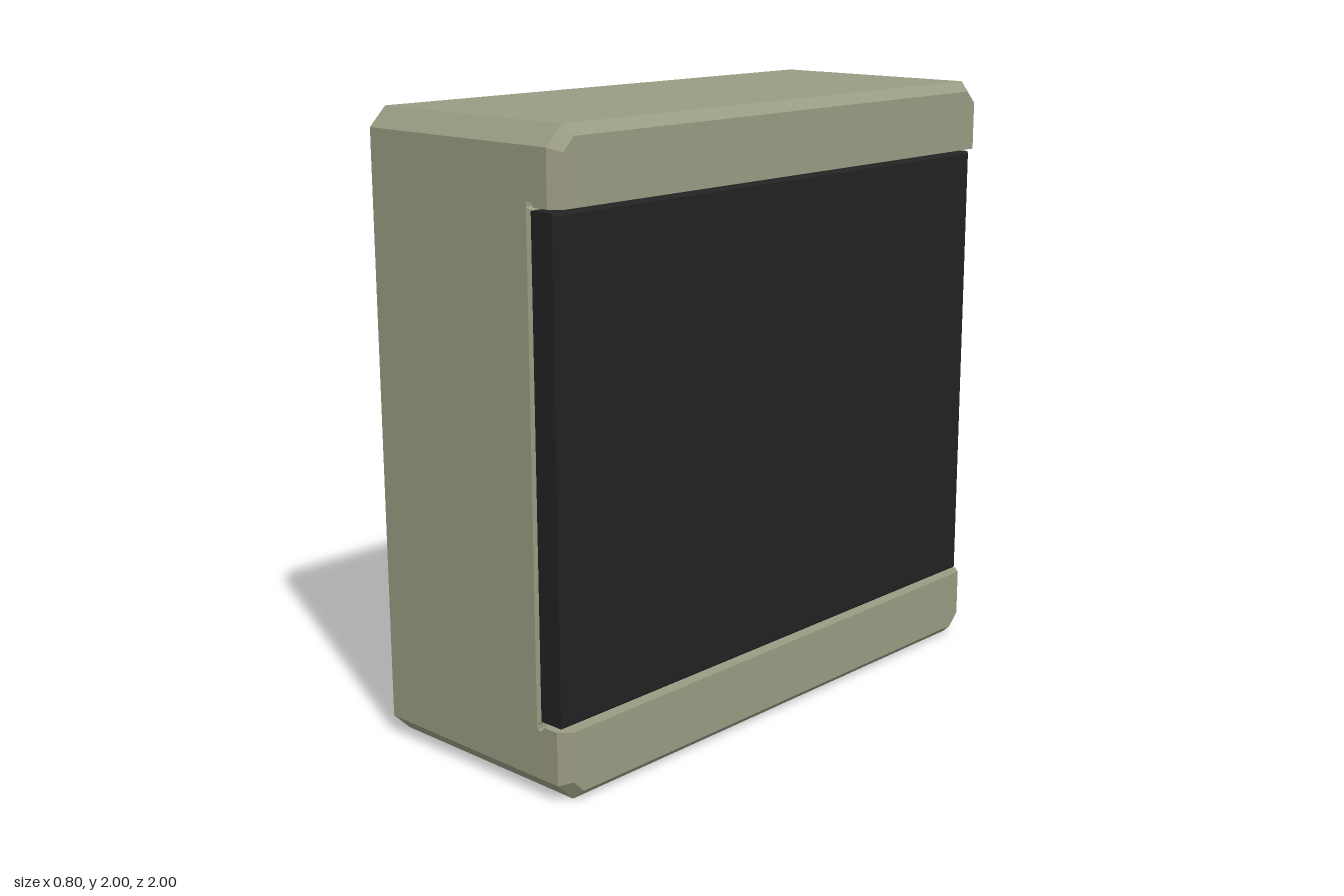
import * as THREE from 'three';

const shell = new THREE.MeshStandardMaterial({ color: 0x9a9b83 });
const dark = new THREE.MeshStandardMaterial({ color: 0x222222 });

// Joins convex sections { x, loop } (loop = [y, z] pairs) along x, with flat faces and end caps.
function loft(name, sections, material) {
  const pos = [];
  const rings = sections.map(({ x, loop }) => loop.map(([y, z]) => [x, y, z]));
  const tri = (a, b, c) => pos.push(...a, ...b, ...c);
  const n = rings[0].length;
  for (let s = 0; s < rings.length - 1; s++) {
    const a = rings[s], b = rings[s + 1];
    for (let i = 0; i < n; i++) {
      const j = (i + 1) % n;
      tri(a[i], a[j], b[j]);
      tri(a[i], b[j], b[i]);
    }
  }
  const first = rings[0], last = rings[rings.length - 1];
  for (let i = 1; i < n - 1; i++) {
    tri(first[0], first[i + 1], first[i]);
    tri(last[0], last[i], last[i + 1]);
  }
  const geo = new THREE.BufferGeometry();
  geo.setAttribute('position', new THREE.Float32BufferAttribute(pos, 3));
  geo.computeVertexNormals();
  const mesh = new THREE.Mesh(geo, material);
  mesh.name = name;
  return mesh;
}

// Rectangle y0..y1, z0..z1 with corners cut by c
function cutRect(y0, y1, z0, z1, c) {
  return [[y0, z0 + c], [y0 + c, z0], [y1 - c, z0], [y1, z0 + c],
    [y1, z1 - c], [y1 - c, z1], [y0 + c, z1], [y0, z1 - c]];
}
const rect = (y0, y1, z0, z1) => [[y0, z0], [y1, z0], [y1, z1], [y0, z1]];

// Upper band section: inner edge at y0, outer edges inset by d
function bandLoop(y0, d) {
  const z = 1 - d, y = 2 - d, c = 0.06 - d * 0.6;
  return [[y0, -z], [y - c, -z], [y, -z + c], [y, z - c], [y - c, z], [y0, z]];
}
const flipY = (loop) => loop.map(([y, z]) => [2 - y, z]).reverse();

export function createModel() {
  const model = new THREE.Group();

  // Main block with cut corners
  const outline = cutRect(0, 2, -1, 1, 0.06);
  model.add(loft('mainBlock', [{ x: -0.4, loop: outline }, { x: 0.28, loop: outline }], shell));

  // Raised floor of the recess, bevelled at its open ends
  model.add(loft('recessFloor', [
    { x: 0.28, loop: rect(0.23, 1.77, -1, 1) },
    { x: 0.29, loop: rect(0.24, 1.76, -0.99, 0.99) },
  ], shell));

  // Bands above and below the recess, undercut at the inner corner
  const band = [
    { x: 0.28, loop: bandLoop(1.785, 0) },
    { x: 0.3, loop: bandLoop(1.785, 0) },
    { x: 0.31, loop: bandLoop(1.77, 0) },
    { x: 0.365, loop: bandLoop(1.77, 0) },
    { x: 0.4, loop: bandLoop(1.77, 0.032) },
  ];
  model.add(loft('upperBand', band, shell));
  model.add(loft('lowerBand', band.map(({ x, loop }) => ({ x, loop: flipY(loop) })), shell));

  // Dark panel sitting in the recess
  const panelLoop = (d) => rect(0.243 + d, 1.76 - d, -0.97 + d, 0.995 - d);
  model.add(loft('panel', [
    { x: 0.288, loop: panelLoop(0.005) },
    { x: 0.295, loop: panelLoop(0) },
    { x: 0.378, loop: panelLoop(0) },
    { x: 0.385, loop: panelLoop(0.007) },
  ], dark));

  return model;
}
